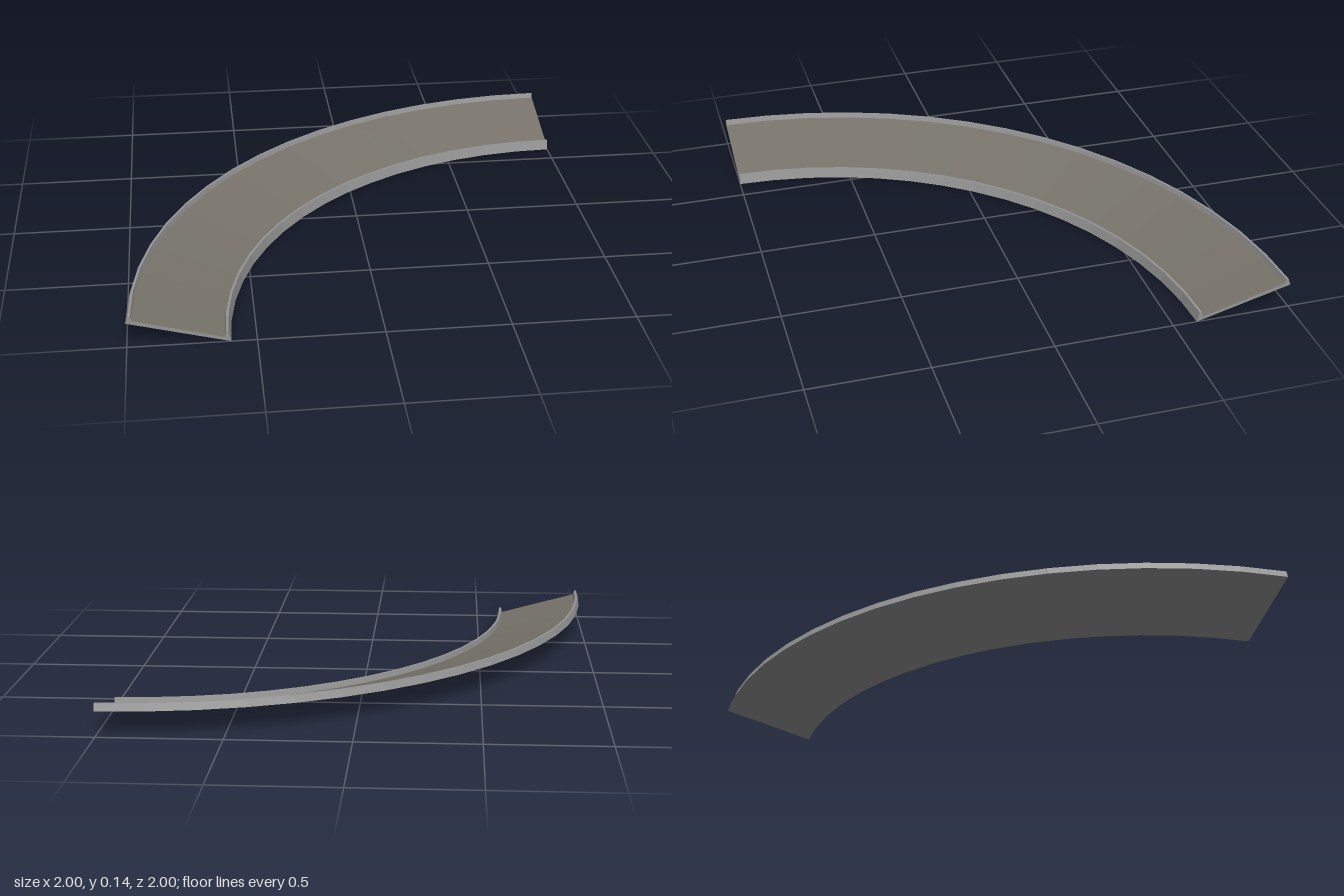
import * as THREE from 'three';

// Banked quarter-circle road: a cross-section of (radius, height) swept about (1, 1)
const SEGMENTS = 16;
const SECTION = [
  [1.6, 0], [2, 0.105], [1.99, 0.135], [1.98, 0.135],
  [1.975, 0.115], [1.625, 0.02], [1.62, 0.043], [1.61, 0.043], [1.6, 0],
];

export function createModel() {
  const group = new THREE.Group();
  group.name = 'bankedRoadCurve';

  const asphalt = new THREE.MeshStandardMaterial({ color: 0x77736a, flatShading: true });
  asphalt.name = 'asphalt';
  const concrete = new THREE.MeshStandardMaterial({ color: 0x949494, flatShading: true });
  concrete.name = 'concrete';

  const add = (name, geometry, material) => {
    const mesh = new THREE.Mesh(geometry, material);
    mesh.name = name;
    group.add(mesh);
    return mesh;
  };

  // Sweep part of the section through a quarter turn
  const sweep = (name, from, to, material) => {
    const points = SECTION.slice(from, to + 1).map(([r, y]) => new THREE.Vector2(r, y));
    const geometry = new THREE.LatheGeometry(points, SEGMENTS, Math.PI, Math.PI / 2);
    add(name, geometry.translate(1, 0, 1), material);
  };
  sweep('underside', 0, 1, concrete);
  sweep('outerKerb', 1, 4, concrete);
  sweep('roadSurface', 4, 5, asphalt);
  sweep('innerKerb', 5, 8, concrete);

  // Flat caps closing the two cut ends
  const cap = (side) => new THREE.ShapeGeometry(
    new THREE.Shape(SECTION.slice(0, -1).map(([r, y]) => new THREE.Vector2(side * r, y))));
  add('frontEnd', cap(-1).translate(1, 0, 1), concrete);
  add('leftEnd', cap(1).rotateY(Math.PI / 2).translate(1, 0, 1), concrete);

  return group;
}
